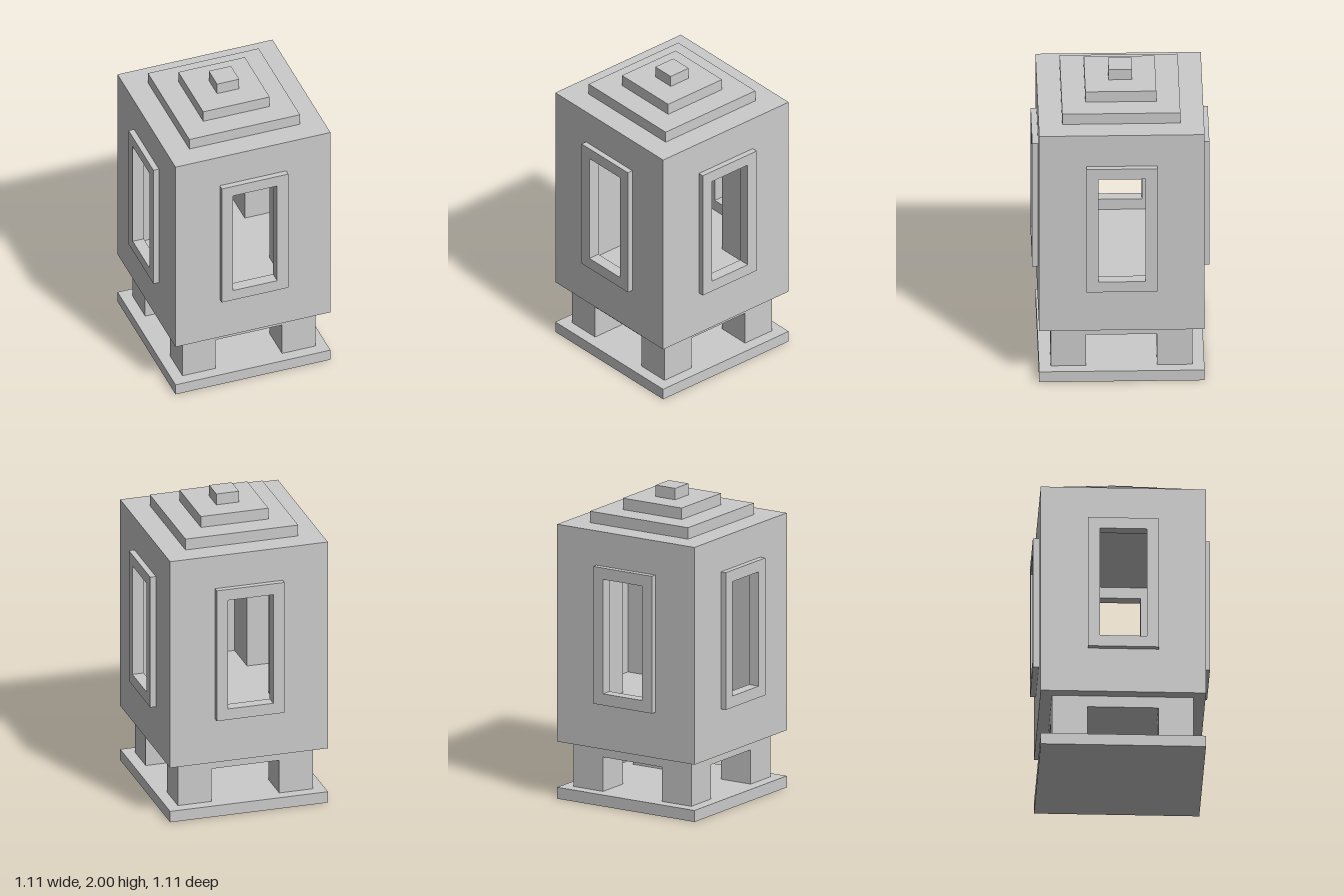
import * as THREE from 'three';

const U = 2 / 27; // one building unit; the model is 27 units tall

export function createModel() {
  const model = new THREE.Group();
  model.name = 'stoneLantern';
  const material = new THREE.MeshStandardMaterial({ color: 0xcccccc, flatShading: true });

  // Square block centred on (x, z), from height y0 to y1, all in units
  function block(name, width, y0, y1, x = 0, z = 0, parent = model) {
    const mesh = new THREE.Mesh(new THREE.BoxGeometry(width * U, (y1 - y0) * U, width * U), material);
    mesh.name = name;
    mesh.position.set(x * U, (y0 + y1) / 2 * U, z * U);
    parent.add(mesh);
  }

  // Base plate and the slab carried by the feet
  block('basePlate', 14, 0, 1);
  block('footSlab', 12, 4, 5);

  // Body: floor and ceiling joined by corner posts, leaving two crossing passages
  const body = new THREE.Group();
  body.name = 'body';
  model.add(body);
  block('bodyFloor', 14, 5, 9, 0, 0, body);
  block('bodyCeiling', 14, 21, 24, 0, 0, body);
  for (const sx of [-1, 1]) {
    for (const sz of [-1, 1]) {
      block('foot', 3, 1, 4, sx * 4.5, sz * 4.5);
      block('cornerPost', 4, 9, 21, sx * 5, sz * 5, body);
    }
  }

  // Stepped roof
  block('roofLowerStep', 10, 24, 25);
  block('roofUpperStep', 6, 25, 26);
  block('roofFinial', 2, 26, 27);

  // Window frames, set half into each passage mouth
  const rectangle = (Type, w, y0, y1) => new Type([
    new THREE.Vector2(-w * U, y0 * U), new THREE.Vector2(w * U, y0 * U),
    new THREE.Vector2(w * U, y1 * U), new THREE.Vector2(-w * U, y1 * U),
  ]);
  const outline = rectangle(THREE.Shape, 3, 9, 21);
  outline.holes.push(rectangle(THREE.Path, 2, 10, 20));
  const frameGeometry = new THREE.ExtrudeGeometry(outline, { depth: U, bevelEnabled: false });
  frameGeometry.translate(0, 0, 6.5 * U);
  ['front', 'left', 'back', 'right'].forEach((side, i) => {
    const frame = new THREE.Mesh(frameGeometry, material);
    frame.name = side + 'WindowFrame';
    frame.rotation.y = i * Math.PI / 2;
    model.add(frame);
  });

  return model;
}
